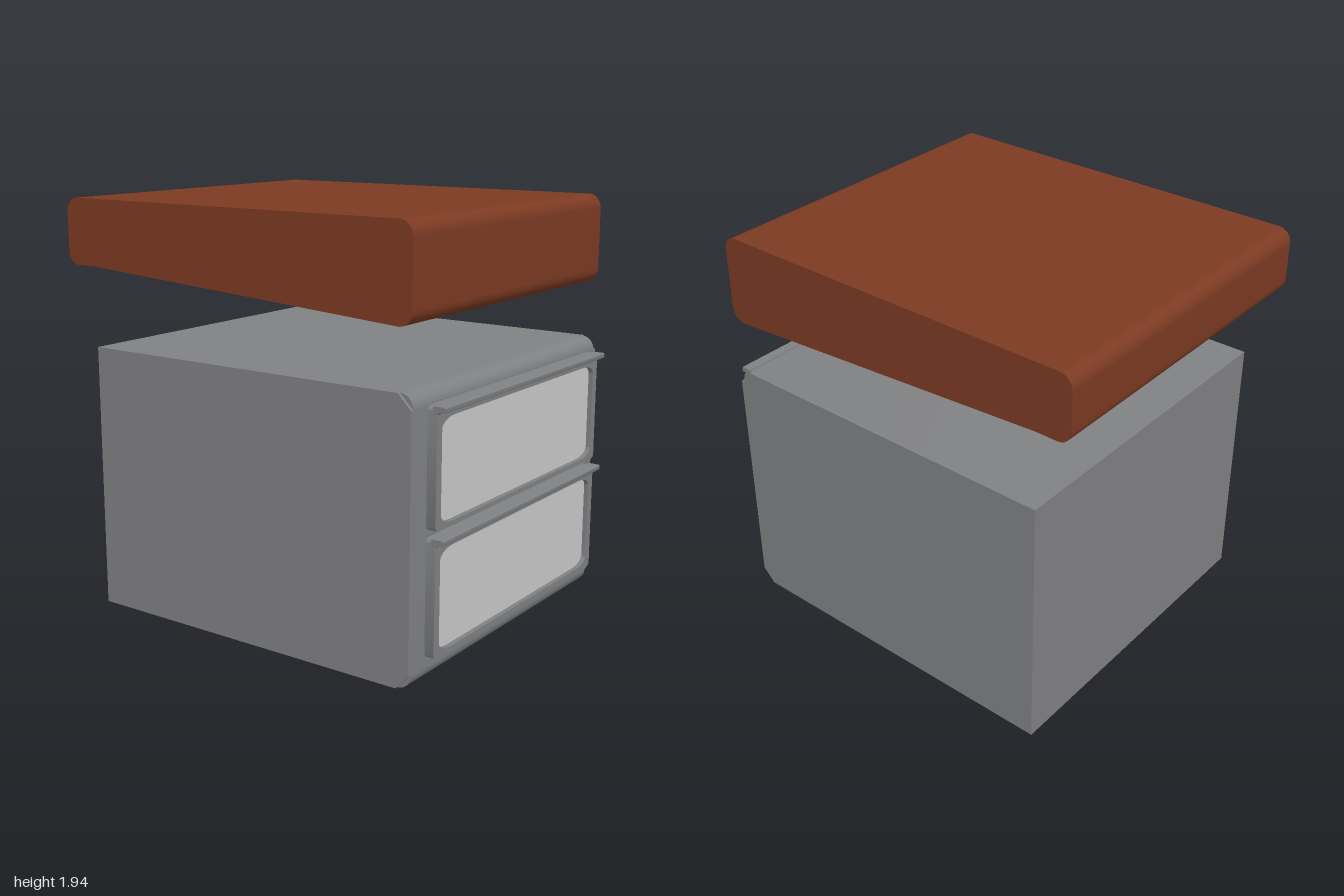
import * as THREE from 'three';
import { toCreasedNormals } from 'three/addons/utils/BufferGeometryUtils.js';

const wood = new THREE.MeshStandardMaterial({ name: 'brown wood', color: 0x7c3a22 });
const grey = new THREE.MeshStandardMaterial({ name: 'body grey', color: 0x808183 });
const pale = new THREE.MeshStandardMaterial({ name: 'pale panel', color: 0xc9c9c9 });

function add(parent, name, geometry, material) {
  const mesh = new THREE.Mesh(geometry, material);
  mesh.name = name;
  parent.add(mesh);
  return mesh;
}

// Extrudes a side profile, drawn as (z, y), across the model from x0 to x1.
function acrossX(shape, x0, x1) {
  const geo = new THREE.ExtrudeGeometry(shape, { depth: x1 - x0, bevelEnabled: false, curveSegments: 8 });
  geo.rotateY(-Math.PI / 2); // (z, y, depth) -> (-depth, y, z)
  geo.translate(x1, 0, 0);
  return toCreasedNormals(geo, 0.6);
}

// Rectangle with elliptical corners of half-axes rx and ry.
function roundedRect(Type, x0, x1, y0, y1, rx, ry) {
  const p = new Type();
  const h = Math.PI / 2;
  p.absellipse(x1 - rx, y0 + ry, rx, ry, -h, 0);
  p.absellipse(x1 - rx, y1 - ry, rx, ry, 0, h);
  p.absellipse(x0 + rx, y1 - ry, rx, ry, h, 2 * h);
  p.absellipse(x0 + rx, y0 + ry, rx, ry, 2 * h, 3 * h);
  p.closePath();
  return p;
}

// Cabinet side profile; the front edges are rounded or chamfered.
function bodyProfile(rounded) {
  const back = -0.835, front = 0.91, top = 1.255, r = 0.065, h = Math.PI / 2;
  const s = new THREE.Shape();
  s.moveTo(back, 0);
  s.lineTo(front - r, 0);
  if (rounded) s.absarc(front - r, r, r, -h, 0);
  else s.lineTo(front, r);
  s.lineTo(front, top - r);
  if (rounded) s.absarc(front - r, top - r, r, 0, h);
  else s.lineTo(front - r, top);
  s.lineTo(back, top);
  s.closePath();
  return s;
}

// Cushion-like top with a rounded front and an overhanging rear lip.
function lidProfile() {
  const r = 0.065, h = Math.PI / 2, front = 0.91, back = -1, top = 1.94, low = 1.52, lip = 1.63;
  const s = new THREE.Shape();
  s.moveTo(-0.83, low);
  s.absarc(front - r, low + r, r, -h, 0);
  s.absarc(front - r, top - r, r, 0, h);
  s.absarc(back + r, top - r, r, h, 2 * h);
  s.absarc(back + r, lip + r, r, 2 * h, 3 * h);
  s.lineTo(-0.83, lip);
  s.closePath();
  return s;
}

// Drawer: recessed panel in a frame with a pull ridge along the top.
function createDrawer(y0) {
  const g = new THREE.Group();
  const x0 = -0.705, x1 = 0.73, h = 0.525, z0 = 0.918, z1 = 0.963;
  const frame = roundedRect(THREE.Shape, x0, x1, 0, h, 0.03, 0.02);
  frame.holes.push(roundedRect(THREE.Path, x0 + 0.04, x1 - 0.04, 0.02, h - 0.055, 0.1, 0.045));
  const frameGeo = new THREE.ExtrudeGeometry(frame, { depth: z1 - z0, bevelEnabled: false, curveSegments: 6 });
  frameGeo.translate(0, 0, z0);
  add(g, 'drawerFrame', toCreasedNormals(frameGeo, 0.6), grey);

  const panel = new THREE.BoxGeometry(x1 - x0 - 0.07, h - 0.065, 0.012);
  panel.translate((x0 + x1) / 2, h / 2 - 0.018, 0.935);
  add(g, 'drawerPanel', panel, pale);

  const ridge = new THREE.Shape([
    [z1 - 0.02, h - 0.035], [z1, h - 0.035], [z1 + 0.012, h - 0.024], [0.998, h - 0.024],
    [1, h - 0.02], [1, h - 0.004], [0.996, h], [z1 - 0.02, h],
  ].map(([z, y]) => new THREE.Vector2(z, y)));
  add(g, 'drawerPull', acrossX(ridge, x0, x1), grey);
  g.position.y = y0;
  return g;
}

export function createModel() {
  const model = new THREE.Group();
  model.name = 'drawerCabinet';

  // Cabinet with thin chamfered sides around a rounded core
  const w = 0.812, core = 0.797;
  add(model, 'cabinetCore', acrossX(bodyProfile(true), -core, core), grey);
  add(model, 'cabinetLeftSide', acrossX(bodyProfile(false), core, w), grey);
  add(model, 'cabinetRightSide', acrossX(bodyProfile(false), -w, -core), grey);

  // Two drawers
  [['lowerDrawer', 0.115], ['upperDrawer', 0.67]].forEach(([name, y]) => {
    const drawer = createDrawer(y);
    drawer.name = name;
    model.add(drawer);
  });

  // Floating top
  add(model, 'lid', acrossX(lidProfile(), -w, w), wood);
  return model;
}
